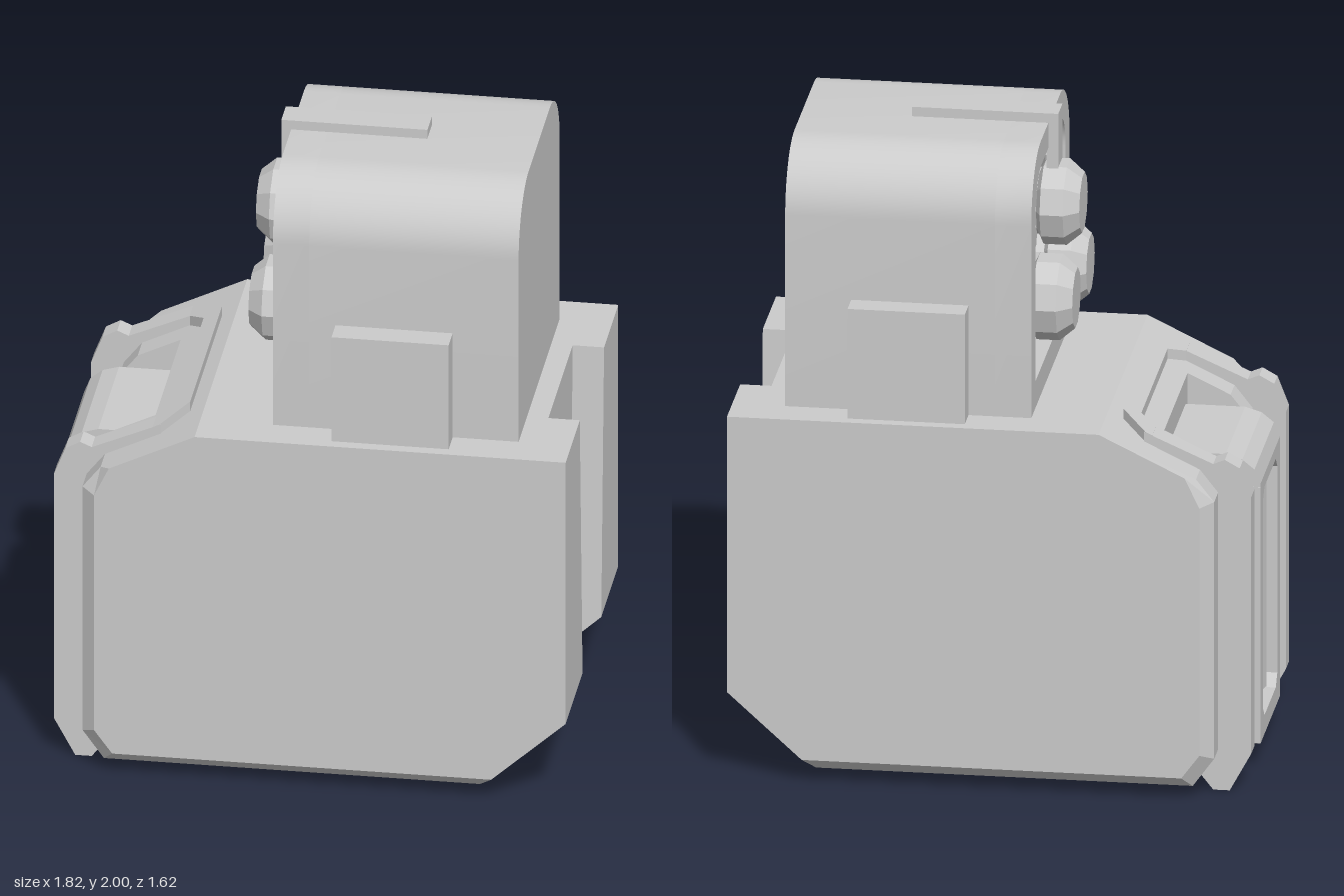
import * as THREE from 'three';
import { toCreasedNormals } from 'three/addons/utils/BufferGeometryUtils.js';

const flat = new THREE.MeshStandardMaterial({ color: 0xcccccc, flatShading: true });
const smooth = new THREE.MeshStandardMaterial({ color: 0xcccccc });

// Local frame: lens face looks along -x, width runs along z.
export function createModel() {
  const model = new THREE.Group();
  const unit = new THREE.Group();
  unit.name = 'unit';
  unit.position.set(0.01, 0, -0.017);
  unit.rotation.y = -Math.PI / 6;
  model.add(unit);

  const add = (name, geometry, material = flat) => {
    const mesh = new THREE.Mesh(geometry, material);
    mesh.name = name;
    unit.add(mesh);
    return mesh;
  };
  const box = (name, x0, x1, y0, y1, z0, z1) =>
    add(name, new THREE.BoxGeometry(x1 - x0, y1 - y0, z1 - z0)
      .translate((x0 + x1) / 2, (y0 + y1) / 2, (z0 + z1) / 2));

  // Skin through counter-clockwise side profiles, in order of rising z, with end caps.
  function loft(loops) {
    const n = loops[0].length, pos = [], index = [];
    loops.forEach(loop => loop.forEach(p => pos.push(...p)));
    for (let i = 0; i < loops.length - 1; i++) {
      for (let j = 0; j < n; j++) {
        const a = i * n + j, b = i * n + (j + 1) % n;
        index.push(a, b, b + n, a, b + n, a + n);
      }
    }
    const caps = loop => THREE.ShapeUtils.triangulateShape(loop.map(p => new THREE.Vector2(p[0], p[1])), []);
    for (const [a, b, c] of caps(loops[0])) index.push(a, c, b);
    const last = (loops.length - 1) * n;
    for (const [a, b, c] of caps(loops[loops.length - 1])) index.push(last + a, last + b, last + c);
    const g = new THREE.BufferGeometry();
    g.setAttribute('position', new THREE.Float32BufferAttribute(pos, 3));
    g.setIndex(index);
    const out = g.toNonIndexed();
    out.computeVertexNormals();
    return out;
  }
  const slab = (profile, z0, z1) => loft([z0, z1].map(z => profile.map(([x, y]) => [x, y, z])));

  // Extrude a (z, y) shape towards -x, starting at x.
  const plate = (shape, x, depth) => toCreasedNormals(
    new THREE.ExtrudeGeometry(shape, { depth, bevelEnabled: false, curveSegments: 6 })
      .rotateY(-Math.PI / 2).translate(x, 0, 0), 0.5);

  // Body core: recessed rear panel, underside channel and back of the slot
  add('bodyCore', slab([[-0.55, 0.04], [-0.27, 0.04], [-0.27, 0.13], [0.45, 0.13], [0.64, 0.31],
    [0.64, 1.16], [-0.39, 1.16], [-0.55, 1.083]], -0.27, 0.27));
  box('channelGrille', 0.1, 0.45, 0.09, 0.14, -0.09, 0.09);
  for (const z of [-0.05, 0, 0.05]) box('grilleRib', 0.13, 0.42, 0.08, 0.1, z - 0.012, z + 0.012);

  // Body sides, each in two lengths with bevelled outer edges
  const rear = [[-0.27, 0.04], [0.47, 0.04], [0.735, 0.28], [0.735, 1.16], [-0.27, 1.16]];
  const rearInset = [[-0.27, 0.075], [0.509, 0.075], [0.735, 0.28], [0.735, 1.16], [-0.27, 1.16]];
  const fore = [[-0.67, 0.04], [-0.27, 0.04], [-0.27, 1.16], [-0.39, 1.16], [-0.68, 1.02],
    [-0.735, 0.95], [-0.735, 0.13]];
  const foreInset = [[-0.64, 0.075], [-0.27, 0.075], [-0.27, 1.16], [-0.39, 1.16], [-0.65, 1.034],
    [-0.695, 0.94], [-0.695, 0.15]];
  const grooveWidth = y => 0.187 + (y - 0.28) * 0.0625;
  for (const s of [-1, 1]) {
    const side = (outline, inset, inner) => {
      const loops = [
        outline.map(([x, y]) => [x, y, s * inner(y)]),
        outline.map(([x, y]) => [x, y, s * 0.49]),
        inset.map(([x, y]) => [x, y, s * 0.525])
      ];
      return loft(s > 0 ? loops : loops.reverse());
    };
    add('bodySideRear', side(rear, rearInset, grooveWidth));
    add('bodySideFore', side(fore, foreInset, () => 0.25));

    // Upright guard bar, folded over the sloping top
    const bar = [[-0.77, 0], [-0.72, 0], [-0.68, 0.05], [-0.73, 0.14], [-0.73, 0.95], [-0.675, 1.02],
      [-0.51, 1.1], [-0.51, 1.132], [-0.72, 1.04], [-0.755, 1.055], [-0.8, 1.03], [-0.835, 0.94],
      [-0.835, 0.12]];
    add('guardBar', slab(bar, s * 0.37 - 0.035, s * 0.37 + 0.035));

    // Box on the flank of the upper housing
    box('sidePod', 0.02, 0.375, 1.16, 1.51, s > 0 ? 0.4 : -0.49, s > 0 ? 0.49 : -0.4);
  }

  // Cross part of the guard, lying on the slope
  const half = [[-0.535, 0.405], [-0.515, 0.405], [-0.435, 0.315]];
  const halfInner = [[-0.485, 0.28], [-0.535, 0.335]];
  const mirrored = list => list.map(([x, z]) => [x, -z]).reverse();
  const hoop = [...half, ...mirrored(half), ...mirrored(halfInner), ...halfInner];
  const hoopGeo = new THREE.ExtrudeGeometry(new THREE.Shape(hoop.map(p => new THREE.Vector2(...p))),
    { depth: 0.04, bevelEnabled: false }).rotateX(-Math.PI / 2);
  const hp = hoopGeo.attributes.position;
  for (let i = 0; i < hp.count; i++) {
    hp.setY(i, hp.getY(i) + 1.152 + 0.483 * (hp.getX(i) + 0.39));
  }
  hoopGeo.computeVertexNormals();
  add('guardCrossbar', hoopGeo);

  // Box in the slot, with a framed and fluted front
  add('slotBox', slab([[-0.79, 0.08], [-0.5, 0.08], [-0.5, 1.0], [-0.73, 1.0], [-0.78, 0.985],
    [-0.817, 0.955], [-0.835, 0.91], [-0.835, 0.9], [-0.79, 0.9]], -0.207, 0.207));
  const octagon = (w, y0, y1, c) => [[-w + c, y0], [w - c, y0], [w, y0 + c], [w, y1 - c], [w - c, y1],
    [-w + c, y1], [-w, y1 - c], [-w, y0 + c]].map(p => new THREE.Vector2(...p));
  const frame = new THREE.Shape(octagon(0.207, 0.08, 0.9, 0.001));
  frame.holes.push(new THREE.Path(octagon(0.155, 0.14, 0.87, 0.035)));
  add('slotBoxFrame', plate(frame, -0.79, 0.045), smooth);
  for (const z of [-0.09, 0, 0.09]) {
    const flute = add('flute', new THREE.CylinderGeometry(0.045, 0.045, 0.7, 8));
    flute.position.set(-0.785, 0.505, z);
    flute.scale.x = 0.6;
  }

  // Upper housing: arched block with an open frame around the lenses
  const arch = (Type, w, y0, y1, r) => {
    const p = new Type();
    p.moveTo(-w, y0);
    p.lineTo(w, y0);
    p.lineTo(w, y1 - r);
    p.absarc(w - r, y1 - r, r, 0, Math.PI / 2, false);
    p.absarc(-w + r, y1 - r, r, Math.PI / 2, Math.PI, false);
    p.lineTo(-w, y0);
    return p;
  };
  add('housing', plate(arch(THREE.Shape, 0.41, 1.16, 1.97, 0.2), 0.575, 0.635), smooth);
  const rim = arch(THREE.Shape, 0.41, 1.16, 1.97, 0.2);
  rim.holes.push(arch(THREE.Path, 0.325, 1.245, 1.89, 0.13));
  add('housingRim', plate(rim, -0.06, 0.11), smooth);

  // Strip along the roof, folded down over the rim
  box('roofStrip', -0.2, 0.243, 1.96, 2.0, -0.045, 0.045);
  box('roofStripEnd', -0.2, -0.165, 1.81, 2.0, -0.045, 0.045);

  // Lenses and bolts pointing along -x
  const knob = (name, profile, sides, y, z) => add(name,
    new THREE.LatheGeometry(profile.map(p => new THREE.Vector2(...p)), sides)
      .rotateZ(Math.PI / 2).translate(0, y, z));
  const lens = [[0.1, 0], [0.1, 0.14], [0.13, 0.155], [0.13, 0.225], [0.092, 0.27], [0, 0.27]];
  for (const [y, z] of [[1.705, 0], [1.455, -0.15], [1.455, 0.15]]) knob('lens', lens, 10, y, z);
  const bolt = [[0.055, 0], [0.055, 0.13], [0.035, 0.155], [0, 0.155]];
  for (const z of [-0.215, 0.215]) {
    for (const y of [1.665, 1.79]) knob('bolt', bolt, 6, y, z);
  }
  return model;
}
